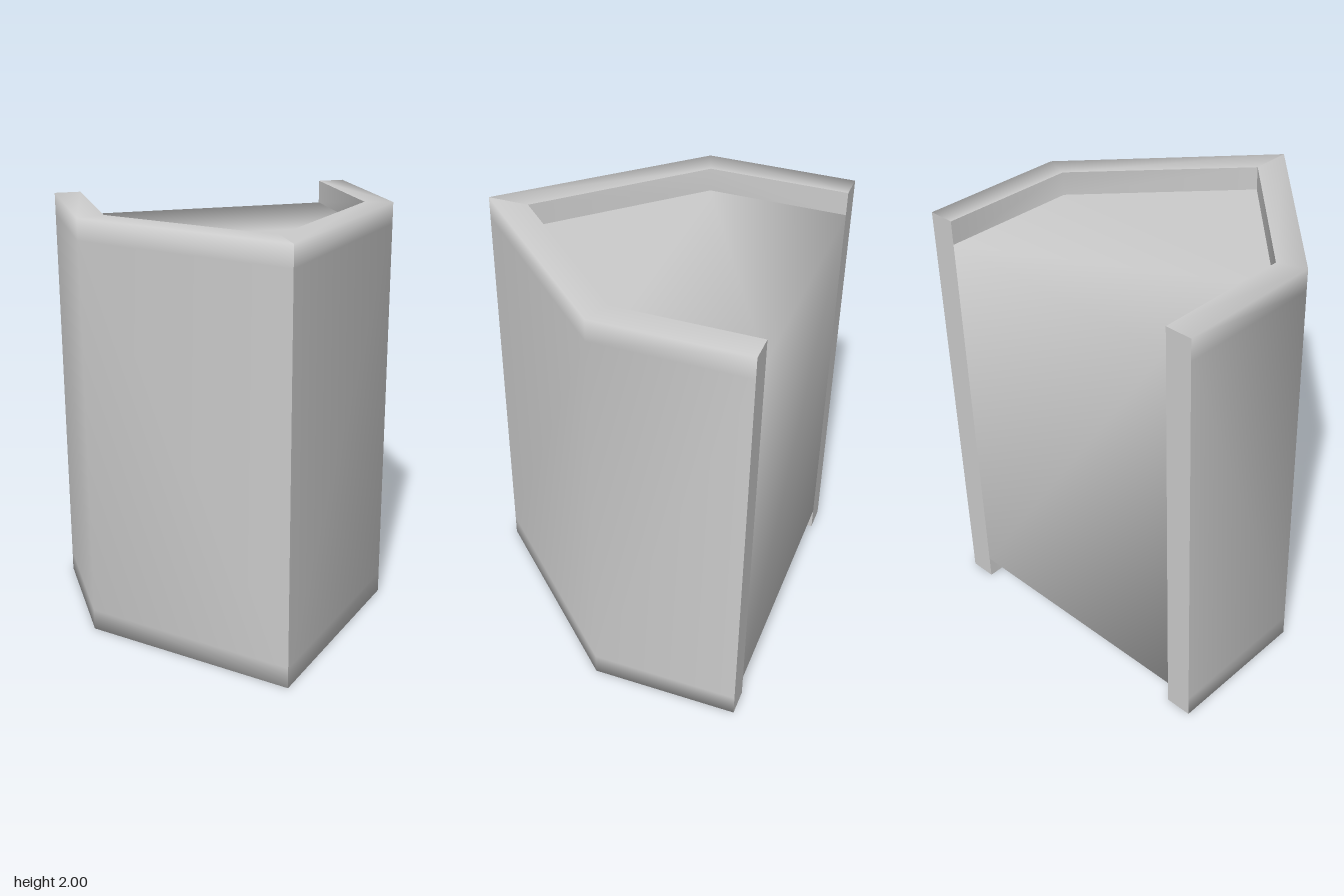
import * as THREE from 'three';

const H = 2, RECESS = 0.11, BAND = 0.1;
// Half outlines [x, z] from the front ridge round to the open back
const OUTER = [[0, 0.73], [0.735, -0.045], [0.735, -0.73]];
const INNER = [[0, 0.54], [0.61, -0.09], [0.61, -0.73]];

export function createModel() {
  const group = new THREE.Group();
  const material = new THREE.MeshStandardMaterial({ color: 0xcccccc });

  // Smooth skin through rows of points; it faces along (row direction) x (row order)
  function addSkin(name, rows, flip = false) {
    const n = rows[0].length;
    const index = [];
    for (let j = 0; j < rows.length - 1; j++) {
      for (let i = 0; i < n - 1; i++) {
        const a = j * n + i, b = a + 1, c = b + n, d = a + n;
        if (flip) index.push(a, c, b, a, d, c);
        else index.push(a, b, c, a, c, d);
      }
    }
    const geometry = new THREE.BufferGeometry();
    geometry.setAttribute('position', new THREE.Float32BufferAttribute(rows.flat(2), 3));
    geometry.setIndex(index);
    geometry.computeVertexNormals();
    const mesh = new THREE.Mesh(geometry, material);
    mesh.name = name;
    group.add(mesh);
  }

  // Pointed wall, one half per side so the front ridge stays sharp
  for (const [label, s] of [['left', 1], ['right', -1]]) {
    const row = (outline, y) => outline.map(([x, z]) => [s * x, y, z]);
    const flip = s < 0;

    // Outer face shaded softly into the bottom and top rims
    addSkin(label + 'OuterWall', [
      row(INNER, 0), row(OUTER, 0), row(OUTER, BAND),
      row(OUTER, H - BAND), row(OUTER, H), row(INNER, H),
    ], flip);

    // Inside faces of the recesses
    addSkin(label + 'TopRecessWall', [row(INNER, H), row(INNER, H - RECESS)], flip);
    addSkin(label + 'BottomRecessWall', [row(INNER, RECESS), row(INNER, 0)], flip);

    // Flat back end of the wall
    const ends = [OUTER[2], INNER[2]];
    addSkin(label + 'WallEnd', [row(ends, 0), row(ends, H)], flip);
  }

  // Core: recessed top, flush back and recessed underside in one soft skin
  const across = ([x, z], y) => [[-x, y, z], [x, y, z]];
  addSkin('core', [
    ...INNER.map((p) => across(p, H - RECESS)),
    ...[...INNER].reverse().map((p) => across(p, RECESS)),
  ]);

  return group;
}
